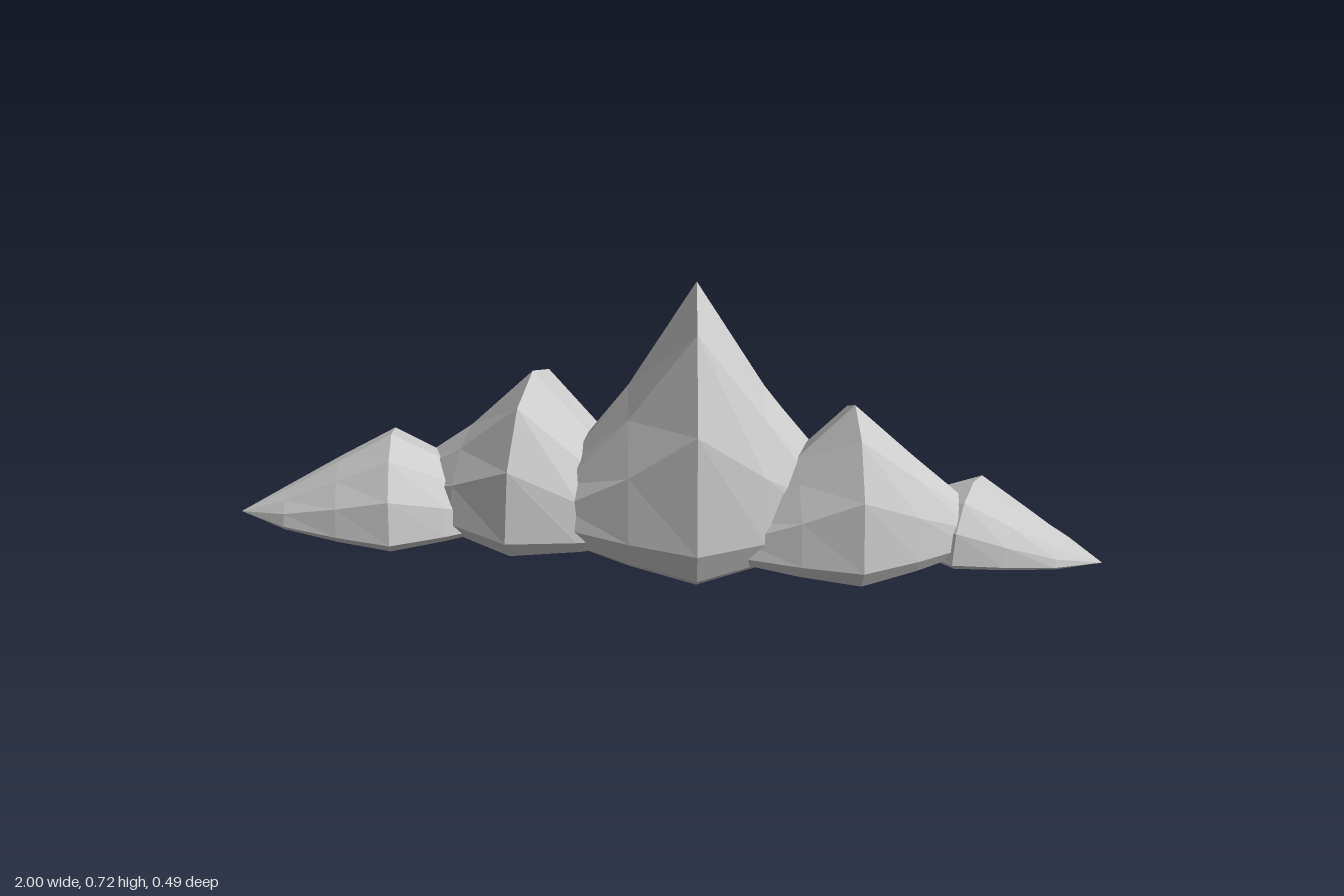
import * as THREE from 'three';

const SIDES = 12;
// half profile of a mound from its crest (t = 0) to its tip (t = 1): [t, radius ratio]
const PROFILE = [[0, 1], [0.35, 0.76], [0.7, 0.45], [1, 0]];
const RINGS = [...PROFILE.slice(1).reverse().map(([t, r]) => [-t, r]), ...PROFILE];

// Spindle along x: tall upper half, shallow keel, pointed at both ends
function moundGeometry({ length, depth, up, down, power }) {
  const positions = [];
  const index = [];
  for (const [t, r] of RINGS) {
    for (let j = 0; j < SIDES; j++) {
      const a = (j / SIDES) * Math.PI * 2;
      const c = Math.cos(a);
      const y = c > 0 ? c * up * Math.pow(r, power) : c * down * r;
      positions.push(t * length, y, Math.sin(a) * depth * r);
    }
  }
  const last = RINGS.length - 2;
  for (let i = 0; i <= last; i++) {
    for (let j = 0; j < SIDES; j++) {
      const k = (j + 1) % SIDES;
      const a = i * SIDES + j, b = i * SIDES + k;
      const c = a + SIDES, d = b + SIDES;
      if (i > 0) index.push(a, b, d);
      if (i < last) index.push(a, d, c);
      else index.push(a, b, c);
    }
  }
  // the first band closes on the tip, so each side needs one triangle only
  const geometry = new THREE.BufferGeometry();
  geometry.setAttribute('position', new THREE.Float32BufferAttribute(positions, 3));
  geometry.setIndex(index);
  geometry.computeVertexNormals();
  return geometry;
}

const MOUNDS = [
  { name: 'rightEndMound', at: [-0.64, 0.115, 0], yaw: 0.11, length: 0.362, depth: 0.175, up: 0.2, down: 0.053, power: 1.6 },
  { name: 'rightMound', at: [-0.31, 0.137, -0.035], yaw: -0.195, length: 0.44, depth: 0.219, up: 0.338, down: 0.092, power: 2.3 },
  { name: 'centralMound', at: [0.067, 0.163, 0], yaw: 0.1, length: 0.44, depth: 0.246, up: 0.562, down: 0.163, power: 2.2 },
  { name: 'leftMound', at: [0.427, 0.123, 0.037], yaw: 0.195, length: 0.38, depth: 0.182, up: 0.332, down: 0.09, power: 1.8 },
  { name: 'leftEndMound', at: [0.705, 0.096, -0.03], yaw: -0.31, length: 0.31, depth: 0.147, up: 0.144, down: 0.037, power: 1.8 },
];

export function createModel() {
  const group = new THREE.Group();
  group.name = 'moundRidge';
  const material = new THREE.MeshStandardMaterial({ color: 0xcccccc, flatShading: true });
  // five overlapping mounds in a row, each turned slightly
  for (const mound of MOUNDS) {
    const mesh = new THREE.Mesh(moundGeometry(mound), material);
    mesh.name = mound.name;
    mesh.position.set(...mound.at);
    mesh.rotation.y = mound.yaw;
    group.add(mesh);
  }
  return group;
}
